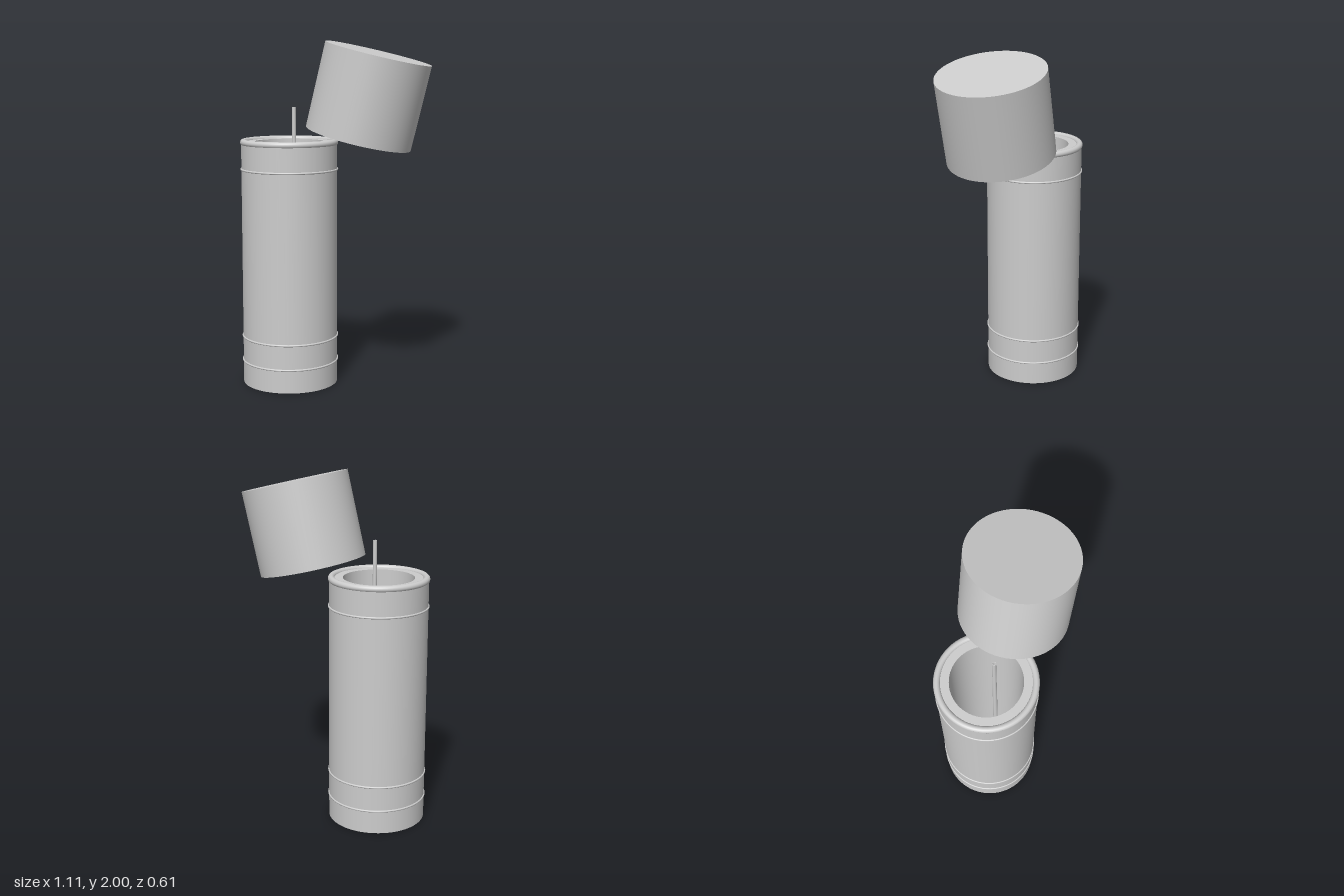
import * as THREE from 'three';
import { mergeGeometries } from 'three/addons/utils/BufferGeometryUtils.js';

const SEGMENTS = 64;

// Lathe with a sharp edge at every profile point
function sharpLathe(profile) {
  const parts = [];
  for (let i = 0; i < profile.length - 1; i++) {
    const pair = [profile[i], profile[i + 1]].map(([r, y]) => new THREE.Vector2(r, y));
    parts.push(new THREE.LatheGeometry(pair, SEGMENTS));
  }
  return mergeGeometries(parts);
}

export function createModel() {
  const model = new THREE.Group();
  const steel = new THREE.MeshStandardMaterial({ color: 0xcccccc });
  steel.name = 'light grey';

  function add(parent, name, geometry, x = 0, y = 0, z = 0) {
    const mesh = new THREE.Mesh(geometry, steel);
    mesh.name = name;
    mesh.position.set(x, y, z);
    parent.add(mesh);
    return mesh;
  }

  // Upright flask with a deep round well
  const flask = new THREE.Group();
  flask.name = 'flask';
  flask.position.x = -0.275;
  model.add(flask);

  add(flask, 'body', sharpLathe([
    [0, 0], [0.278, 0], [0.278, 1.425], [0.2, 1.425], [0.192, 0.08], [0, 0.08],
  ]));

  // Rounded lip and the thin bands around the body
  const ring = (name, radius, tube, y) => {
    const geometry = new THREE.TorusGeometry(radius, tube, 12, SEGMENTS);
    geometry.rotateX(Math.PI / 2);
    add(flask, name, geometry, 0, y);
  };
  ring('lip', 0.265, 0.019, 1.421);
  [0.135, 0.28, 1.265].forEach((y) => ring('band', 0.278, 0.006, y));

  // Hollow straw standing in the well
  add(flask, 'straw', sharpLathe([
    [0.01, 0.08], [0.015, 0.08], [0.011, 1.625], [0.008, 1.625], [0.008, 0.08],
  ]), 0.04, 0, 0.03);

  // Lid tipped off to the side
  const lid = add(model, 'lid', new THREE.CylinderGeometry(0.305, 0.305, 0.489, SEGMENTS), 0.198, 1.69, 0);
  lid.rotation.z = -THREE.MathUtils.degToRad(13.7);

  return model;
}
